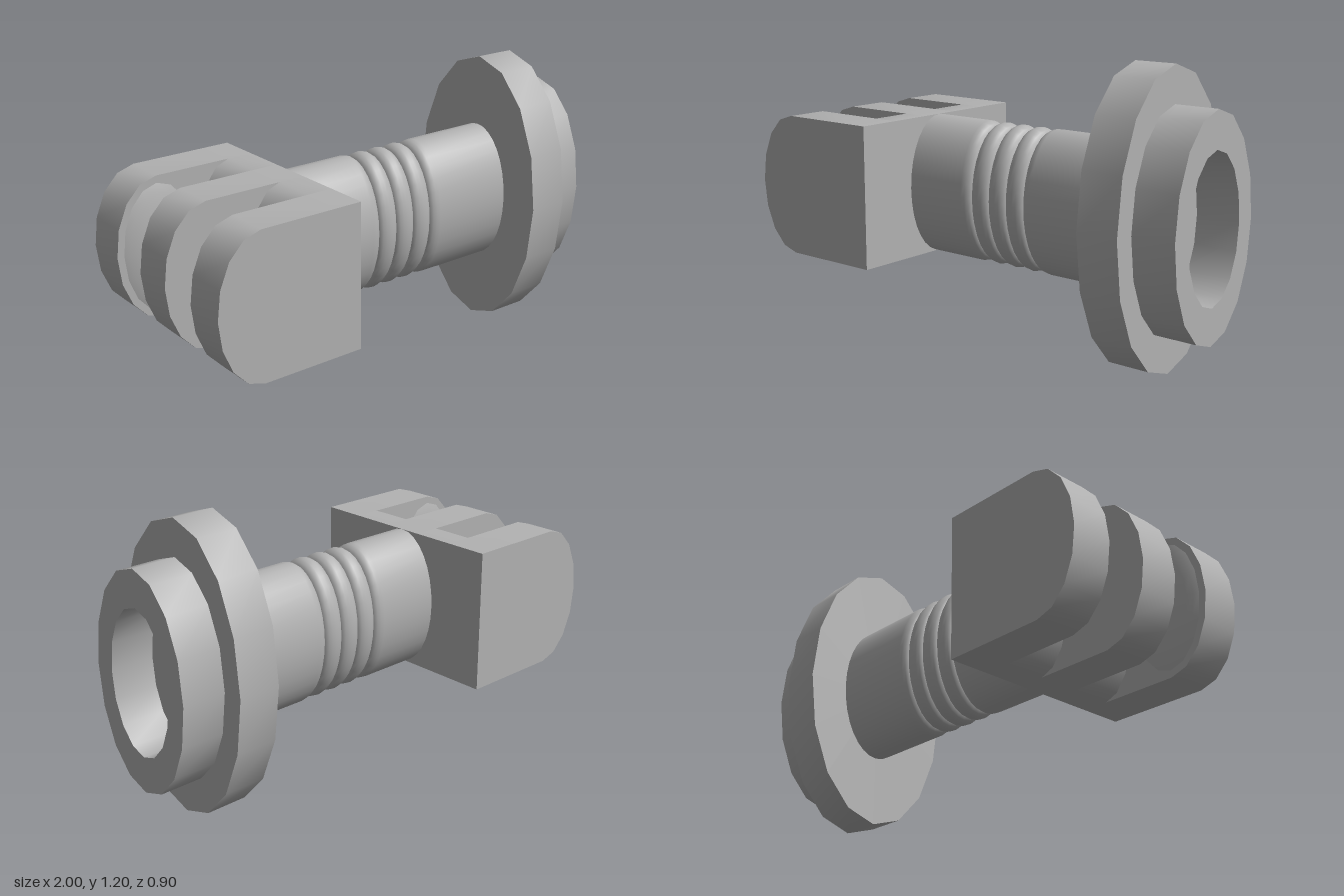
import * as THREE from 'three';
import { toCreasedNormals } from 'three/addons/utils/BufferGeometryUtils.js';

const SIDES = 16;
const AXIS_Y = 0.6;   // height of the shaft axis
const SQUASH = 0.6;   // round parts are narrower in z

export function createModel() {
  const model = new THREE.Group();
  const grey = new THREE.MeshStandardMaterial({ color: 0xb2b2b2 });
  grey.name = 'grey';

  function add(name, geometry, z = 0) {
    const mesh = new THREE.Mesh(geometry, grey);
    mesh.name = name;
    mesh.position.set(0, AXIS_Y, z);
    model.add(mesh);
    return mesh;
  }

  // Turned part along x from [radius, x] pairs
  function turned(name, profile, sides) {
    const points = profile.map(([r, x]) => new THREE.Vector2(r, x));
    const geometry = new THREE.LatheGeometry(points, sides).rotateZ(-Math.PI / 2);
    add(name, toCreasedNormals(geometry, 0.7)).scale.z = SQUASH;
  }

  // Block with an elliptical nose towards -x, extruded between z0 and z1
  function nosed(name, noseX, rx, z0, z1) {
    const points = [];
    for (let i = 0; i <= 8; i++) {
      const a = Math.PI / 2 + (i / 8) * Math.PI;
      points.push(new THREE.Vector2(noseX + rx * Math.cos(a), 0.3 * Math.sin(a)));
    }
    points.push(new THREE.Vector2(-0.37, -0.3), new THREE.Vector2(-0.37, 0.3));
    const geometry = new THREE.ExtrudeGeometry(new THREE.Shape(points), { depth: z1 - z0, bevelEnabled: false });
    add(name, toCreasedNormals(geometry, 0.7), z0);
  }

  // Shaft with rounded shoulders and three ribs between them
  const R = 0.3, r = 0.045;
  const shaft = [[R, -0.37]];
  const arc = (x, from, to, steps) => {
    for (let i = 0; i <= steps; i++) {
      const a = from + ((to - from) * i) / steps;
      shaft.push([R - r + r * Math.sin(a), x - r * Math.cos(a)]);
    }
  };
  arc(-0.09, Math.PI / 2, Math.PI, 4);
  for (let i = 0; i < 3; i++) arc(i * 0.09, 0, Math.PI, 8);
  arc(0.27, 0, Math.PI / 2, 4);
  shaft.push([R, 0.65]);
  turned('ribbedShaft', shaft, 32);

  // Flange, collar and the blind socket in its end
  turned('flangedHead', [
    [0, 0.635], [0.6, 0.635], [0.6, 0.815], [0.45, 0.815],
    [0.45, 1], [0.3, 1], [0.3, 0.815], [0, 0.815],
  ], SIDES);

  // Three fork prongs, and the rounded walls closing the two slots
  nosed('frontProng', -0.81, 0.19, 0.27, 0.45);
  nosed('middleProng', -0.81, 0.19, -0.09, 0.09);
  nosed('backProng', -0.81, 0.19, -0.45, -0.27);
  nosed('frontSlotWall', -0.48, 0.15, 0.09, 0.27);
  nosed('backSlotWall', -0.48, 0.15, -0.27, -0.09);

  // Shallow domes on the inner faces of the outer prongs
  const t = 0.8;
  for (const side of [1, -1]) {
    const dome = new THREE.SphereGeometry(1, SIDES, 6, 0, Math.PI * 2, 0, t)
      .translate(0, -Math.cos(t), 0)
      .scale(0.16 / Math.sin(t), 0.033 / (1 - Math.cos(t)), 0.27 / Math.sin(t))
      .rotateX((-side * Math.PI) / 2);
    add(side > 0 ? 'frontDome' : 'backDome', dome, side * 0.27).position.x = -0.81;
  }

  return model;
}
